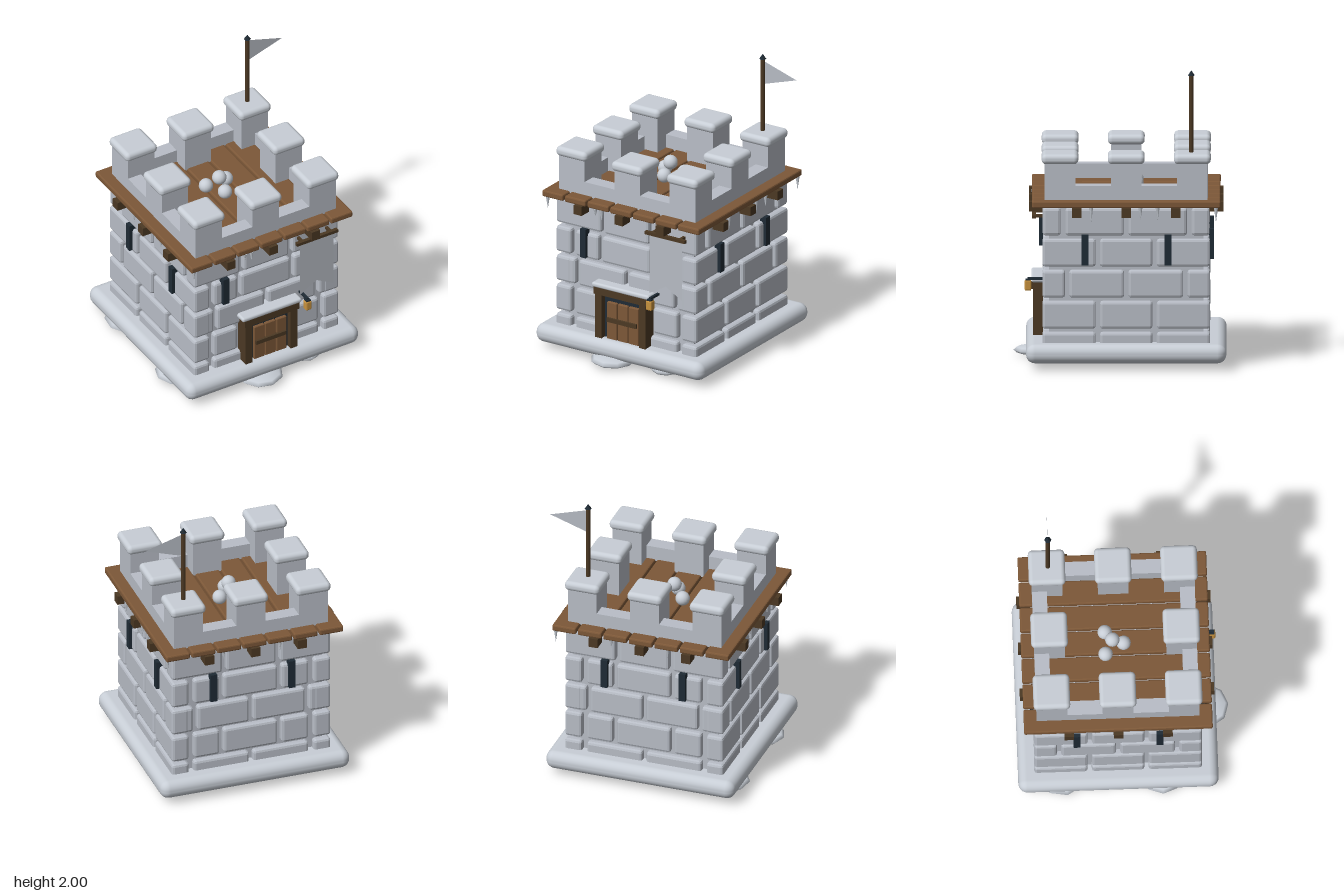
import * as THREE from 'three';
import { RoundedBoxGeometry } from 'three/addons/geometries/RoundedBoxGeometry.js';

const mat = (name, color, side = THREE.FrontSide) => {
  const m = new THREE.MeshStandardMaterial({ color, side });
  m.name = name;
  return m;
};

export function createModel() {
  const stone = mat('stone', 0xb9bec7);
  const snow = mat('snow', 0xc8ced6);
  const plank = mat('plank brown', 0x7d5838);
  const timber = mat('dark timber', 0x4c3924);
  const iron = mat('dark iron', 0x1f2b35);
  const brass = mat('lantern brass', 0xc8923e);
  const cloth = mat('cloth', 0xb7bcc4, THREE.DoubleSide);

  const model = new THREE.Group();
  model.name = 'watchtower';
  // The tower stands slightly off the origin; its own parts are placed from its axis
  const CX = -0.015, CZ = -0.045;
  const tower = new THREE.Group();
  tower.name = 'tower';
  tower.position.set(CX, 0, CZ);
  model.add(tower);

  const add = (parent, name, geo, material, x, y, z) => {
    const m = new THREE.Mesh(geo, material);
    m.name = name;
    m.position.set(x, y, z);
    parent.add(m);
    return m;
  };
  const box = (parent, name, material, w, h, d, x, y, z) =>
    add(parent, name, new THREE.BoxGeometry(w, h, d), material, x, y, z);
  const soft = (parent, name, material, w, h, d, r, x, y, z) =>
    add(parent, name, new RoundedBoxGeometry(w, h, d, 3, r), material, x, y, z);
  // Box with one flat chamfer on every edge
  const chamfer = (parent, name, material, w, h, d, r, x, y, z) => {
    const geo = new RoundedBoxGeometry(w, h, d, 1, r);
    geo.computeVertexNormals();
    return add(parent, name, geo, material, x, y, z);
  };

  // Snow base and the flattened lumps beneath its edge
  soft(tower, 'snowBase', snow, 1.34, 0.13, 1.34, 0.06, 0, 0.11, 0);
  const lumps = [[-0.09, 0.555, 0.155], [-0.555, 0.25, 0.15], [-0.52, -0.42, 0.175], [0.295, 0.5, 0.1]];
  for (const [x, z, r] of lumps) {
    const m = add(model, 'snowLump', new THREE.SphereGeometry(1, 9, 6), snow, x, 0.036, z);
    m.scale.set(r, 0.036, r);
    m.rotation.y = x * 5;
  }

  // Wall core and staggered courses of chamfered blocks
  box(tower, 'wallCore', stone, 1.03, 1.02, 1.03, 0, 0.59, 0);
  const long = [-0.575, -0.19, 0.19, 0.575];
  const short = [-0.42, -0.21, 0.2, 0.42];
  const half = [-0.575, -0.395, 0, 0.395, 0.575];
  const wide = [-0.42, 0, 0.42];
  const courses = [
    [wide, long], [short, long], [half, half], [short, long], [long, wide],
  ];
  for (let side = 0; side < 4; side++) {
    const wall = new THREE.Group();
    wall.name = 'wall';
    wall.rotation.y = side * Math.PI / 2;
    tower.add(wall);
    const out = side % 2 ? 0.562 : 0.558;
    courses.forEach((pair, row) => {
      const edges = pair[side % 2];
      for (let i = 0; i + 1 < edges.length; i++) {
        const w = edges[i + 1] - edges[i] - 0.028;
        chamfer(wall, 'wallBlock', stone, w, 0.185, 0.12, 0.018,
          (edges[i] + edges[i + 1]) / 2, 0.152 + row * 0.21, out - 0.06);
      }
    });
    // Arrow slits; the front wall has a single one beside the banner
    for (const u of side === 0 ? [-0.33] : [-0.275, 0.28])
      box(wall, 'arrowSlit', iron, 0.046, 0.205, 0.05, u, 0.805, 0.56);

    // Parapet with a merlon at the corner and one at mid wall
    box(wall, 'parapet', stone, 0.9, 0.105, 0.1, 0, 1.182, 0.495);
    for (const u of [-0.4425, 0]) {
      box(wall, 'merlon', stone, 0.205, 0.26, 0.205, u, 1.26, 0.4425);
      soft(wall, 'merlonSnowCap', snow, 0.246, 0.068, 0.246, 0.03, u, u || side ? 1.414 : 1.405, 0.4425);
    }
  }

  // Deck planks over crossing support beams
  for (let i = -3; i <= 3; i++) {
    chamfer(tower, 'deckPlank', plank, 0.168, 0.045, 1.262, 0.01, i * 0.181, 1.118, 0);
    if (Math.abs(i) < 2) {
      box(tower, 'deckBeam', timber, 0.064, 0.065, 1.3, i * 0.328, 1.067, 0);
      box(tower, 'deckBeam', timber, 1.3, 0.063, 0.064, 0, 1.066, i * 0.33);
    }
  }

  // Icicles under the eaves: x, z, length
  const icicles = [
    [-0.61, 0.56, 0.09], [-0.22, 0.575, 0.055], [-0.17, 0.575, 0.08], [0.595, 0.19, 0.11],
    [0.595, -0.14, 0.09], [0.595, -0.255, 0.09], [0.595, -0.36, 0.06], [0.595, -0.645, 0.1],
    [0.2, -0.65, 0.07], [-0.2, -0.65, 0.08], [-0.62, -0.2, 0.08], [-0.62, 0.15, 0.07],
  ];
  for (const [x, z, h] of icicles) {
    const m = add(model, 'icicle', new THREE.ConeGeometry(0.014, h, 6), snow, x, 1.098 - h / 2, z);
    m.rotation.x = Math.PI;
  }

  // Pile of snowballs on the deck
  const balls = [[-0.115, 1.185, -0.113], [0.04, 1.185, -0.113], [-0.04, 1.185, 0.01], [-0.04, 1.255, -0.065]];
  for (const [x, y, z] of balls)
    add(model, 'snowball', new THREE.SphereGeometry(0.049, 16, 12), snow, x, y, z);

  // Flagpole, finial and pennant
  add(model, 'flagpole', new THREE.CylinderGeometry(0.016, 0.016, 0.54, 8), timber, 0.425, 1.705, -0.48);
  add(model, 'poleFinial', new THREE.ConeGeometry(0.024, 0.035, 6), iron, 0.425, 1.9825, -0.48);
  const flat = pts => new THREE.ShapeGeometry(new THREE.Shape(pts.map(p => new THREE.Vector2(...p))));
  add(model, 'pennant', flat([[0.435, 1.785], [0.695, 1.87], [0.435, 1.95]]), cloth, 0, 0, -0.48);

  // Hanging banner with a notched hem
  add(model, 'banner', flat([[0.21, 0.585], [0.34, 0.66], [0.47, 0.585], [0.47, 1.015], [0.21, 1.015]]),
    cloth, 0, 0, 0.57);
  box(model, 'bannerRod', timber, 0.32, 0.022, 0.026, 0.34, 1.02, 0.572);
  for (const x of [0.23, 0.45]) box(model, 'bannerBracket', timber, 0.02, 0.02, 0.07, x, 1.02, 0.53);

  // Door: dark recess, planks, bar, frame and snowy lintel
  const door = new THREE.Group();
  door.name = 'door';
  door.position.x = -0.0175;
  model.add(door);
  box(door, 'doorRecess', iron, 0.32, 0.33, 0.08, 0, 0.33, 0.5);
  for (let i = -1; i <= 1; i++)
    chamfer(door, 'doorPlank', plank, 0.08, 0.275, 0.03, 0.006, i * 0.086 + 0.005, 0.302, 0.545);
  box(door, 'doorBar', timber, 0.235, 0.03, 0.02, 0.003, 0.315, 0.565);
  for (const s of [-1, 1])
    box(door, 'doorPost', timber, 0.052, 0.34, 0.1, s * 0.175, 0.33, 0.53);
  box(door, 'doorLintel', timber, 0.425, 0.05, 0.11, 0.003, 0.512, 0.532);
  soft(door, 'lintelSnow', snow, 0.46, 0.035, 0.13, 0.015, 0.003, 0.55, 0.525);

  // Lantern on an iron bracket
  box(model, 'lanternBracket', iron, 0.018, 0.016, 0.11, 0.243, 0.566, 0.56);
  box(model, 'lanternCap', iron, 0.034, 0.012, 0.034, 0.243, 0.557, 0.612);
  chamfer(model, 'lantern', brass, 0.044, 0.07, 0.044, 0.008, 0.243, 0.52, 0.612);

  return model;
}
